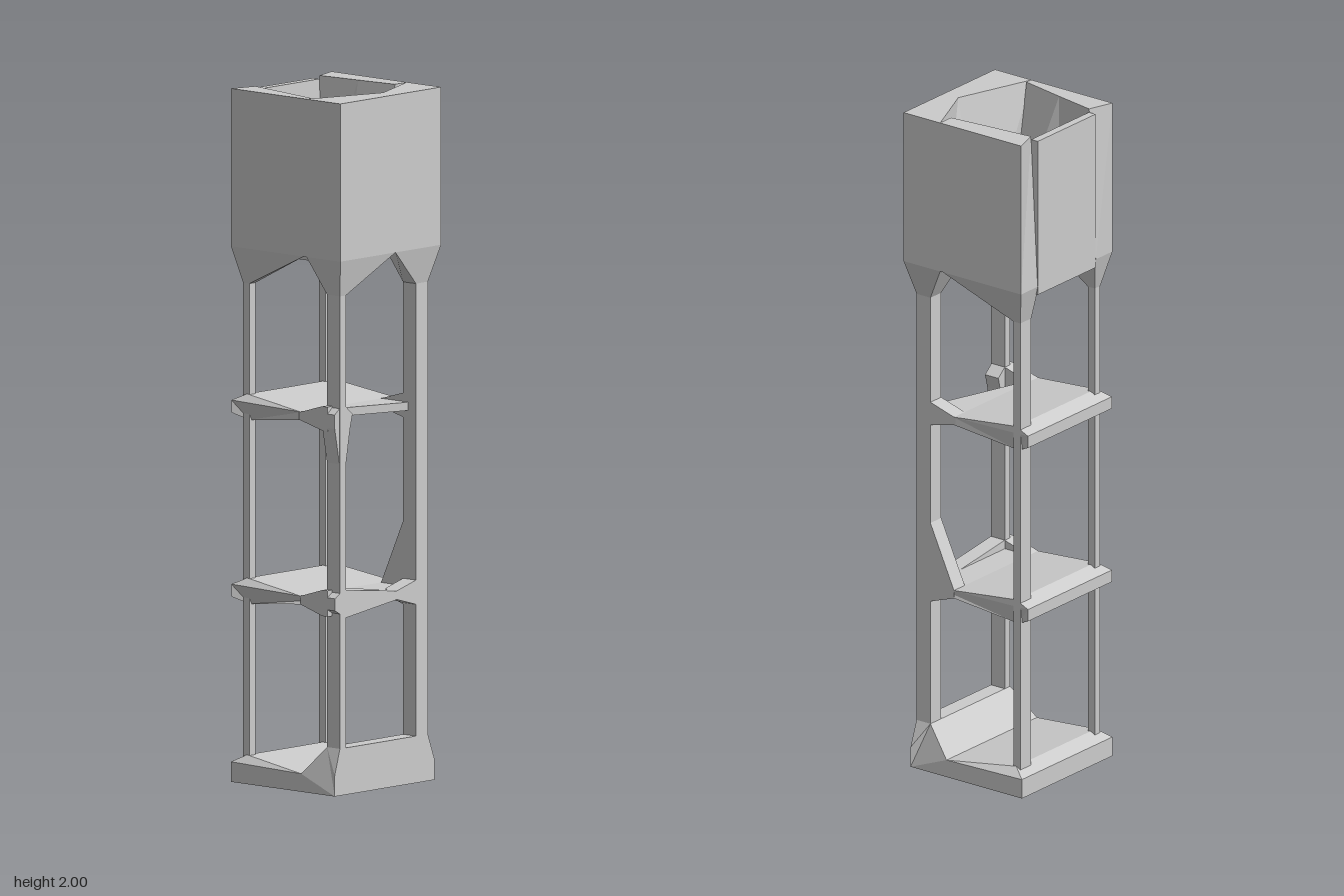
import * as THREE from 'three';
import { ConvexGeometry } from 'three/addons/geometries/ConvexGeometry.js';

const material = new THREE.MeshStandardMaterial({ color: 0xcccccc, flatShading: true });

// Solid between two matching rings of [x, y, z]; u and v are the axes the caps are flattened on.
function loft(a, b, u, v) {
  const flat = (ring) => ring.map((p) => new THREE.Vector2(p[u], p[v]));
  if (THREE.ShapeUtils.isClockWise(flat(a))) {
    a = [...a].reverse();
    b = [...b].reverse();
  }
  const tris = [];
  for (const [i, j, k] of THREE.ShapeUtils.triangulateShape(flat(a), [])) tris.push([a[k], a[j], a[i]]);
  for (const [i, j, k] of THREE.ShapeUtils.triangulateShape(flat(b), [])) tris.push([b[i], b[j], b[k]]);
  a.forEach((p, i) => {
    const j = (i + 1) % a.length;
    tris.push([p, a[j], b[j]], [p, b[j], b[i]]);
  });
  // turn the faces outward if the rings were given the other way round
  let volume = 0;
  for (const t of tris) {
    const [p, q, r] = t.map((c) => new THREE.Vector3(...c));
    volume += p.dot(q.cross(r));
  }
  if (volume < 0) tris.forEach((t) => t.reverse());
  const geometry = new THREE.BufferGeometry();
  geometry.setAttribute('position', new THREE.Float32BufferAttribute(tris.flat(2), 3));
  geometry.computeVertexNormals();
  return geometry;
}

// Side profile of [z, y, left x, right x] stretched across x.
const across = (pts) => loft(pts.map(([z, y, l]) => [l, y, z]), pts.map(([z, y, , r]) => [r, y, z]), 2, 1);
// Plan outlines of [x, z] at two heights.
const upright = (low, y0, high, y1) =>
  loft(low.map(([x, z]) => [x, y0, z]), high.map(([x, z]) => [x, y1, z]), 2, 0);
// Front outline of [x, y] between two depths.
const deep = (pts, z0, z1) => loft(pts.map(([x, y]) => [x, y, z0]), pts.map(([x, y]) => [x, y, z1]), 0, 1);
const hull = (pts) => new ConvexGeometry(pts.map((p) => new THREE.Vector3(...p)));
const rect = (x0, x1, z0, z1) => [[x0, z0], [x1, z0], [x1, z1], [x0, z1]];

export function createModel() {
  const model = new THREE.Group();
  const add = (name, geometry) => {
    const mesh = new THREE.Mesh(geometry, material);
    mesh.name = name;
    model.add(mesh);
  };
  const W = 0.212, top = 2, rim = 1.545, legTop = 1.44;

  // legs: thicker at the front and on the left side
  const legs = {
    frontLeftLeg: [0.13, 0.18, 0.14, 0.19],
    frontRightLeg: [-0.19, -0.165, 0.14, 0.19],
    backLeftLeg: [0.13, 0.18, -0.185, -0.16],
    backRightLeg: [-0.19, -0.165, -0.185, -0.16],
  };
  for (const [name, r] of Object.entries(legs)) {
    add(name, upright(rect(...r), 0.03, rect(...r), legTop + 0.01));
  }

  // base with a raised, flared front wall
  add('base', across([
    [0.19, 0, -W, 0.208], [0.19, 0.06, -W, 0.208], [0.19, 0.135, -0.19, 0.18], [0.14, 0.135, -0.19, 0.18],
    [0.06, 0.052, -W, 0.208], [-0.17, 0.08, -0.19, 0.18], [-W, 0.058, -W, 0.208], [-W, 0, -W, 0.208],
  ]));

  // two platforms, thin toward the front and chamfered at the back
  const platform = (y, front) => across([
    [front, y + 0.012, -0.21, 0.18], [0.055, y + 0.012, -0.21, 0.18], [-0.17, y + 0.038, -0.19, 0.18],
    [-W, y + 0.018, -0.21, 0.18], [-W, y - 0.018, -0.21, 0.18],
    [-0.17, y - 0.038, -0.18, 0.17], [0.055, y - 0.012, -0.21, 0.18], [front, y - 0.012, -0.21, 0.18],
  ]);
  add('lowerPlatform', platform(0.552, 0.15));
  add('upperPlatform', platform(1.083, 0.06));
  add('upperPlatformFront', upright(
    [[-0.21, 0.05], [0.18, 0.05], [0.18, 0.16], [0.13, 0.16]], 1.071,
    [[-0.21, 0.05], [0.18, 0.05], [0.18, 0.16], [0.13, 0.16]], 1.095));

  // waisted beam along the front of the lower platform
  add('lowerFrontBeam', deep([
    [-0.21, 0.57], [-0.18, 0.59], [-0.165, 0.59], [0.05, 0.563], [0.13, 0.585],
    [0.13, 0.515], [0.05, 0.538], [-0.165, 0.51], [-0.21, 0.535],
  ], 0.14, 0.19));

  // tapered arms tying the platforms to the front legs
  const arm = (yLow, yHigh, y, x0, x1) => across([
    [0.16, yHigh, x0, x1], [0.14, yHigh, x0, x1], [0.055, y + 0.012, x0, x1],
    [0.055, y - 0.012, x0, x1], [0.14, yLow, x0, x1], [0.16, yLow, x0, x1],
  ]);
  add('lowerLeftBrace', arm(0.51, 0.75, 0.552, 0.13, 0.18));
  add('lowerRightArm', arm(0.515, 0.59, 0.552, -0.21, -0.165));
  add('upperLeftArm', arm(1.05, 1.12, 1.083, 0.13, 0.18));
  add('upperRightArm', arm(1.05, 1.12, 1.083, -0.21, -0.165));
  add('upperRightBracket', deep([
    [-0.21, 1.1], [-0.185, 1.12], [-0.165, 1.12], [-0.135, 1.095], [-0.145, 1.055], [-0.165, 0.94], [-0.187, 0.94],
    [-0.21, 1.06],
  ], 0.14, 0.188));

  // open tank: front, side and back walls
  add('tankFrontWall', upright(
    [[-W, W], [W, W], [W, 0.08], [0.025, 0.08], [-W, 0.08]], rim,
    [[-W, W], [W, W], [W, 0.08], [0.025, 0.16], [-W, 0.08]], top));
  add('tankRightWall', upright(
    [[-W, -W], [-0.135, -W], [-0.135, -0.08], [-0.11, 0.081], [-W, 0.081]], rim,
    [[-W, -W], [-0.135, -0.188], [-0.16, -0.06], [-0.19, 0.081], [-W, 0.081]], top));
  add('tankLeftWall', upright(
    [[W, -W], [0.135, -W], [0.135, -0.11], [0.105, 0.081], [W, 0.081]], rim,
    [[W, -W], [0.135, -0.188], [0.147, -0.05], [0.16, 0.081], [W, 0.081]], top));
  add('tankBackWall', upright(
    rect(-0.134, 0.134, -W, -0.16), 1.52, rect(-0.134, 0.134, -W, -0.188), 1.99));

  // pointed skirts leading from the tank corners down to the legs
  for (const [name, [x0, x1, z0, z1]] of Object.entries(legs)) {
    const s = x0 > 0 ? 1 : -1;
    const plan = z0 > 0
      ? [[s * W, W], [0.02, W], [s * W, 0.08], [s * 0.11, 0.08]]
      : [[s * W, -W], [s * W, 0.07], [s * 0.13, -W], [s * 0.135, -0.1]];
    add(name.replace('Leg', 'Skirt'), hull([
      ...plan.map(([x, z]) => [x, rim, z]),
      ...rect(x0, x1, z0, z1).map(([x, z]) => [x, legTop, z]),
    ]));
  }

  // tank floor in two halves with raised inner ledges
  const floors = {
    rightFloor: [[-0.14, -0.165], [-0.11, -0.165], [-0.055, -0.11], [-0.055, 0.085], [-0.14, 0.085]],
    leftFloor: [[0.14, -0.165], [0.105, -0.165], [0.025, -0.08], [0.025, 0.085], [0.14, 0.085]],
  };
  for (const [name, plan] of Object.entries(floors)) add(name, upright(plan, 1.52, plan, 1.55));
  add('rightLedge', upright(rect(-0.08, -0.055, -0.08, 0.08), 1.51, rect(-0.08, -0.055, -0.08, 0.08), 1.565));
  add('leftLedge', upright(rect(0.025, 0.08, -0.08, 0.08), 1.51, rect(0.025, 0.08, -0.08, 0.08), 1.565));

  // faceted outlet and spout under the tank
  add('outlet', hull([
    [-0.055, 1.5, -0.03], [-0.055, 1.52, 0.05], [-0.03, 1.53, -0.08], [0.025, 1.53, -0.06],
    [0.05, 1.5, -0.03], [0.05, 1.52, 0.05], [-0.03, 1.535, 0.08], [0, 1.545, 0],
    ...rect(0.025, 0.05, -0.02, 0.005).map(([x, z]) => [x, 1.445, z]),
  ]));
  add('spout', upright(rect(0.026, 0.049, -0.02, 0), 1.418, rect(0.026, 0.049, -0.02, 0), 1.45));
  return model;
}
